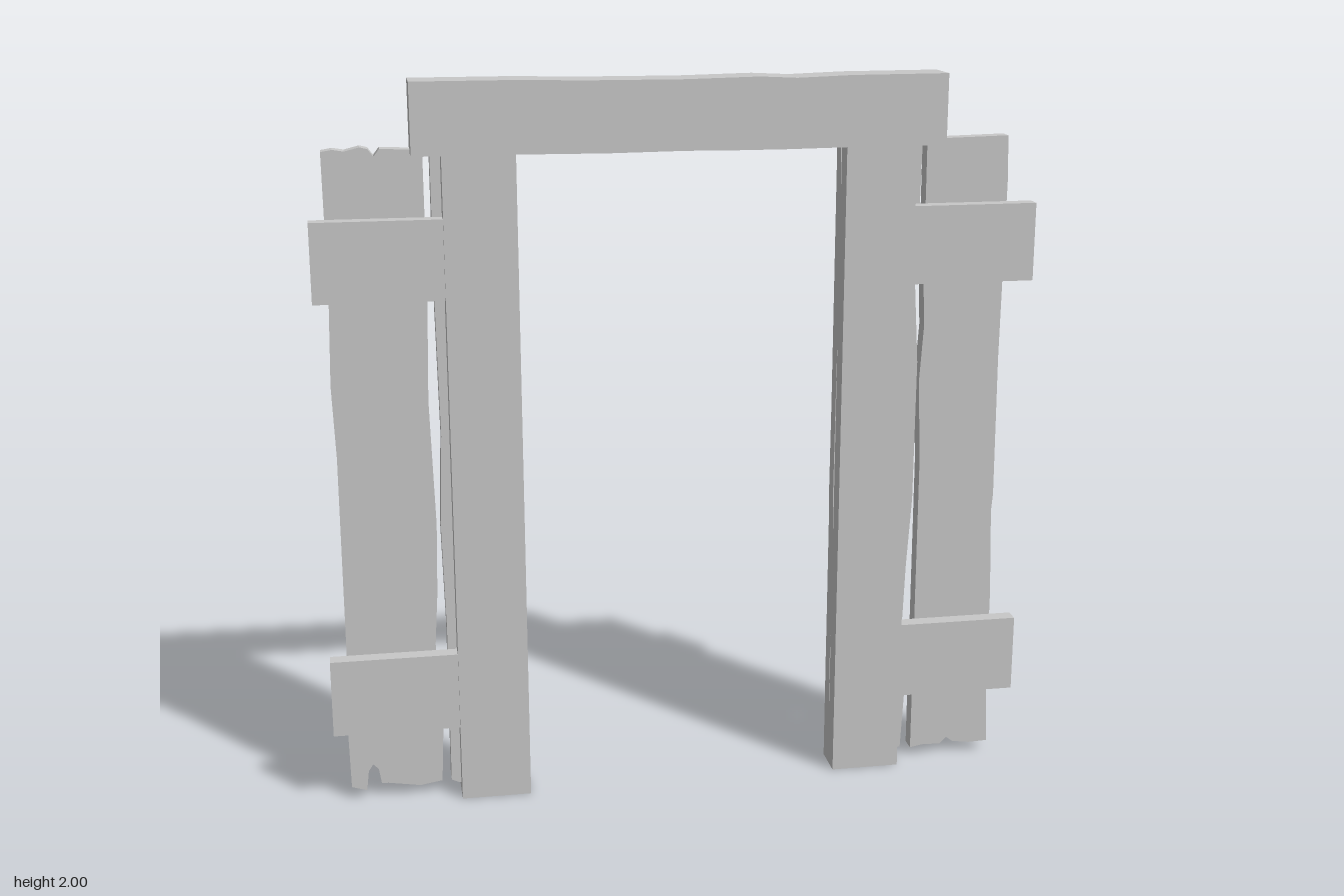
import * as THREE from 'three';

export function createModel() {
  const model = new THREE.Group();
  model.name = 'doorFrame';
  const wood = new THREE.MeshStandardMaterial({ color: 0xc8c8c8 });
  wood.name = 'light grey wood';

  // flat outline cut through a given depth range
  function plank(name, points, zBack, zFront) {
    const shape = new THREE.Shape(points.map(([x, y]) => new THREE.Vector2(x, y)));
    const geo = new THREE.ExtrudeGeometry(shape, { depth: zFront - zBack, bevelEnabled: false });
    geo.translate(0, 0, zBack);
    const mesh = new THREE.Mesh(geo, wood);
    mesh.name = name;
    model.add(mesh);
  }
  function beam(name, x0, x1, y0, y1, z0, z1) {
    const mesh = new THREE.Mesh(new THREE.BoxGeometry(x1 - x0, y1 - y0, z1 - z0), wood);
    mesh.position.set((x0 + x1) / 2, (y0 + y1) / 2, (z0 + z1) / 2);
    mesh.name = name;
    model.add(mesh);
  }

  // posts
  beam('leftPost', 0.44, 0.634, 0, 1.82, -0.054, 0.052);
  beam('rightPost', -0.635, -0.442, 0, 1.82, -0.054, 0.052);

  // lintel with slightly uneven long edges
  plank('lintel', [
    [-0.712, 1.81], [-0.44, 1.81], [-0.2, 1.808], [0, 1.81], [0.25, 1.808], [0.44, 1.81], [0.713, 1.81],
    [0.713, 2], [0.45, 1.999], [0.3, 1.994], [0.2, 1.999], [0, 1.995], [-0.25, 1.996], [-0.45, 2], [-0.712, 2],
  ], -0.057, 0.057);
  // rough board inside the lintel, just showing below
  plank('lintelBoard', [
    [-0.44, 1.804], [-0.2, 1.802], [-0.05, 1.805], [0.15, 1.801], [0.44, 1.803], [0.44, 1.95], [-0.44, 1.95],
  ], -0.047, 0);

  // crossbars, upper and lower on each side
  for (const [level, y0, y1, right, left] of [['upper', 1.43, 1.645, -0.98, 0.98], ['lower', 0.214, 0.433, -0.984, 0.977]]) {
    beam(level + 'RightCrossbar', right, -0.5, y0, y1, -0.002, 0.042);
    beam(level + 'LeftCrossbar', 0.5, left, y0, y1, -0.002, 0.042);
  }

  // weathered outer boards
  plank('rightOuterBoard', [
    [-0.94, 1.82], [-0.91, 1.825], [-0.88, 1.82], [-0.84, 1.83], [-0.82, 1.825], [-0.805, 1.805], [-0.79, 1.825],
    [-0.68, 1.82], [-0.68, 1.45], [-0.688, 1.15], [-0.678, 0.8], [-0.683, 0.6], [-0.693, 0.45], [-0.68, 0.2],
    [-0.688, 0.035], [-0.75, 0.025], [-0.84, 0.04], [-0.858, 0.04], [-0.865, 0.085], [-0.88, 0.1], [-0.893, 0.08],
    [-0.9, 0.022], [-0.942, 0.035], [-0.946, 0.25], [-0.938, 0.45], [-0.937, 1], [-0.944, 1.2], [-0.937, 1.45],
  ], -0.048, -0.003);
  plank('leftOuterBoard', [
    [0.678, 1.82], [0.907, 1.825], [0.911, 1.7], [0.907, 1.2], [0.911, 0.8], [0.907, 0.75], [0.916, 0.5],
    [0.917, 0.2], [0.926, 0.03], [0.87, 0.028], [0.82, 0.035], [0.8, 0.05], [0.78, 0.03], [0.73, 0.032],
    [0.69, 0.025], [0.688, 0.9], [0.678, 1.15], [0.687, 1.3], [0.68, 1.45],
  ], -0.048, -0.003);

  // inner boards running through the posts
  plank('rightInnerBoard', [
    [-0.662, 1.82], [-0.662, 1.4], [-0.657, 1.05], [-0.667, 0.8], [-0.66, 0.5], [-0.662, 0.035], [-0.64, 0.025],
    [-0.443, 0.03], [-0.439, 0.4], [-0.443, 0.7], [-0.439, 1], [-0.444, 1.4], [-0.438, 1.7], [-0.442, 1.82],
  ], -0.048, -0.003);
  plank('leftInnerBoard', [
    [0.665, 1.82], [0.662, 1.6], [0.657, 1.42], [0.671, 1.2], [0.67, 0.8], [0.658, 0.6], [0.652, 0.42], [0.666, 0.2],
    [0.658, 0.03], [0.442, 0.03], [0.438, 0.3], [0.443, 0.55], [0.437, 0.8], [0.439, 1.2], [0.443, 1.5], [0.437, 1.82],
  ], -0.048, -0.003);

  return model;
}
